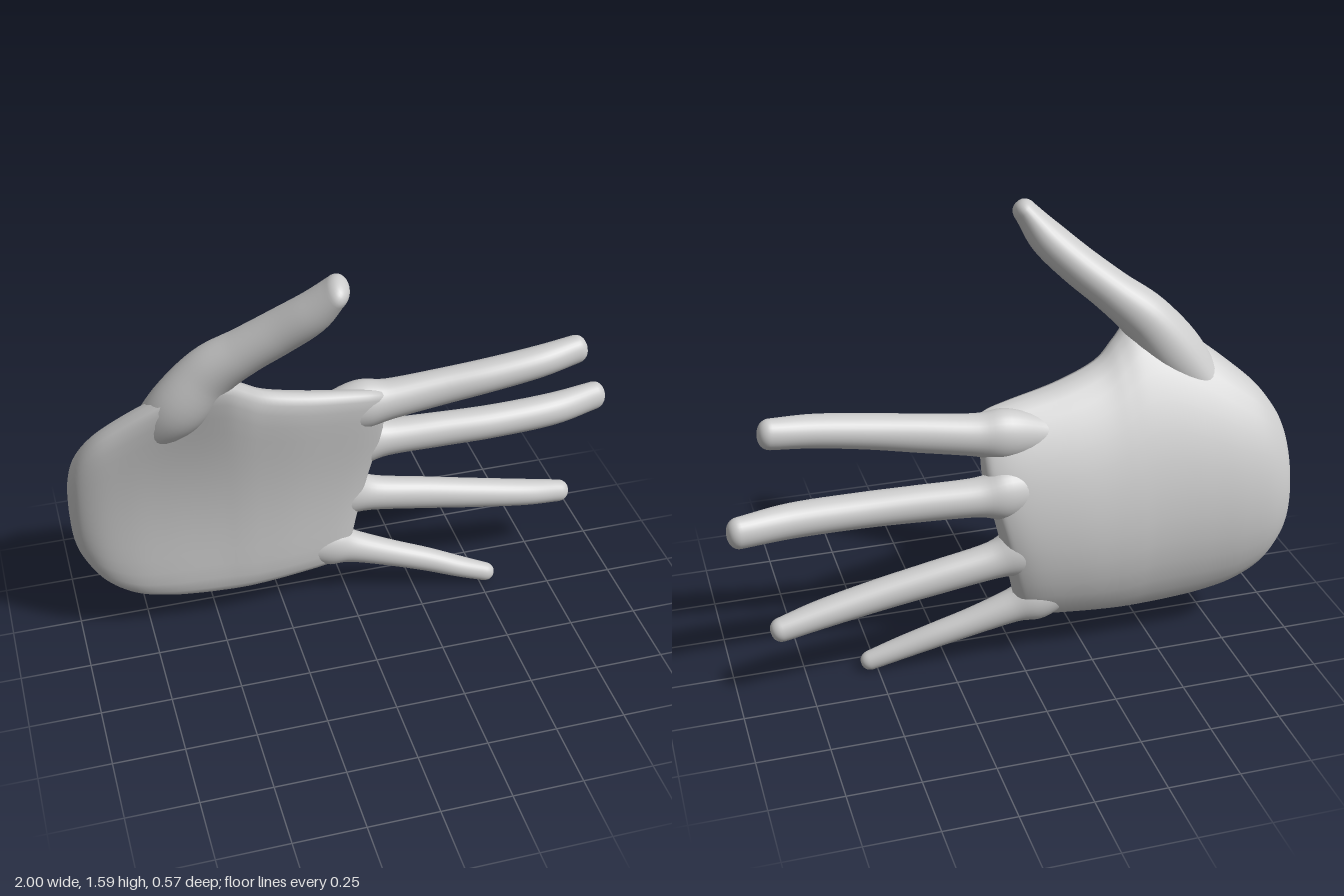
import * as THREE from 'three';

const material = new THREE.MeshStandardMaterial({ color: 0xcccccc, roughness: 0.7 });
const SIDES = 32;

// Smooth skin over a list of closed rings of points
function loft(name, rings) {
  const index = [];
  for (let i = 0; i < rings.length - 1; i++) {
    for (let j = 0; j < SIDES; j++) {
      const k = (j + 1) % SIDES;
      const a = i * SIDES + j, b = i * SIDES + k;
      index.push(a, b, b + SIDES, a, b + SIDES, a + SIDES);
    }
  }
  const geometry = new THREE.BufferGeometry().setFromPoints(rings.flat());
  geometry.setIndex(index);
  geometry.computeVertexNormals();
  const mesh = new THREE.Mesh(geometry, material);
  mesh.name = name;
  return mesh;
}

const spline = (points) => new THREE.CatmullRomCurve3(points, false, 'catmullrom', 0.5);

// Digit: rows of [x, y, z, half width, half depth], ending in a rounded tip
function digit(name, rows, tipLength = 0.04) {
  const path = spline(rows.map((r) => new THREE.Vector3(r[0], r[1], r[2])));
  const size = spline(rows.map((r) => new THREE.Vector3(r[3], r[4], 0)));
  const rings = [];
  const addRing = (t, forward, scale) => {
    const tangent = path.getTangent(t);
    const side = new THREE.Vector3(0, 0, 1).cross(tangent).normalize();
    const up = tangent.clone().cross(side);
    const centre = path.getPoint(t).addScaledVector(tangent, forward);
    const s = size.getPoint(t);
    rings.push(Array.from({ length: SIDES }, (_, j) => {
      const a = (j / SIDES) * Math.PI * 2;
      return centre.clone()
        .addScaledVector(side, Math.cos(a) * s.x * scale)
        .addScaledVector(up, Math.sin(a) * s.y * scale);
    }));
  };
  for (let i = 0; i <= 36; i++) addRing(i / 36, 0, 1);
  for (let k = 1; k <= 8; k++) {
    const a = (k / 8) * Math.PI / 2;
    addRing(1, Math.sin(a) * tipLength, Math.max(Math.cos(a) ** 0.8, 0.001));
  }
  return loft(name, rings);
}

// Palm: rows of [x, bottom, top, half thickness], cupped in z, slanted at the knuckles
function palm() {
  const rows = [
    [-1, 0.58, 0.61, 0.003], [-0.993, 0.46, 0.72, 0.045], [-0.965, 0.37, 0.83, 0.08],
    [-0.9, 0.27, 0.93, 0.105], [-0.8, 0.2, 1.02, 0.115], [-0.68, 0.167, 1.11, 0.115],
    [-0.56, 0.152, 1.18, 0.113], [-0.47, 0.147, 1.18, 0.112], [-0.4, 0.146, 1.125, 0.112],
    [-0.32, 0.148, 1.065, 0.11], [-0.17, 0.156, 1.015, 0.104], [0, 0.168, 0.98, 0.087],
    [0.08, 0.18, 0.962, 0.068], [0.112, 0.2, 0.945, 0.045], [0.125, 0.23, 0.92, 0.003],
  ];
  const outline = spline(rows.map((r) => new THREE.Vector3(r[0], r[1], r[2])));
  const thickness = spline(rows.map((r) => new THREE.Vector3(r[0], r[3], 0)));
  const rings = [];
  const steps = 84;
  for (let i = 0; i <= steps; i++) {
    const p = outline.getPoint(i / steps);
    const h = thickness.getPoint(i / steps).y;
    const slant = 0.22 * THREE.MathUtils.smoothstep(p.x, -0.5, 0.1);
    rings.push(Array.from({ length: SIDES }, (_, j) => {
      const a = (j / SIDES) * Math.PI * 2;
      const y = (p.y + p.z) / 2 + Math.cos(a) * (p.z - p.y) / 2;
      const s = Math.sin(a);
      const z = -0.175 + 0.45 * (y - 0.45) ** 2 + h * Math.sign(s) * Math.abs(s) ** 0.8;
      return new THREE.Vector3(p.x - slant * Math.max(0, 0.75 - y), y, z);
    }));
  }
  return loft('palm', rings);
}

export function createModel() {
  const hand = new THREE.Group();
  hand.name = 'hand';
  hand.add(
    palm(),
    digit('thumb', [
      [-0.74, 0.9, -0.08, 0.06, 0.06], [-0.62, 1.05, -0.015, 0.1, 0.095], [-0.51, 1.19, 0.02, 0.09, 0.09],
      [-0.4, 1.285, 0.07, 0.075, 0.083], [-0.29, 1.375, 0.125, 0.07, 0.08],
      [-0.2, 1.46, 0.18, 0.063, 0.075], [-0.135, 1.545, 0.22, 0.042, 0.066],
    ], 0.045),
    digit('indexFinger', [
      [-0.12, 0.86, -0.11, 0.06, 0.05], [0.03, 0.882, -0.108, 0.092, 0.076], [0.14, 0.893, -0.1, 0.074, 0.068],
      [0.32, 0.918, -0.088, 0.067, 0.06], [0.5, 0.945, -0.075, 0.061, 0.06],
      [0.68, 0.97, -0.073, 0.057, 0.057], [0.825, 0.987, -0.09, 0.053, 0.046],
    ]),
    digit('middleFinger', [
      [-0.12, 0.69, -0.15, 0.06, 0.05], [0.04, 0.688, -0.165, 0.095, 0.075], [0.15, 0.687, -0.163, 0.069, 0.066],
      [0.35, 0.689, -0.153, 0.064, 0.061], [0.55, 0.691, -0.147, 0.061, 0.061],
      [0.78, 0.695, -0.157, 0.06, 0.058], [0.96, 0.698, -0.195, 0.055, 0.045],
    ]),
    digit('ringFinger', [
      [-0.15, 0.495, -0.165, 0.06, 0.05], [-0.01, 0.465, -0.175, 0.095, 0.07], [0.1, 0.437, -0.175, 0.067, 0.06],
      [0.3, 0.4, -0.17, 0.061, 0.055], [0.5, 0.362, -0.165, 0.056, 0.053],
      [0.7, 0.322, -0.167, 0.05, 0.05], [0.84, 0.293, -0.178, 0.043, 0.04],
    ]),
    digit('littleFinger', [
      [-0.2, 0.29, -0.155, 0.06, 0.05], [-0.07, 0.25, -0.155, 0.086, 0.065], [0.02, 0.222, -0.148, 0.062, 0.056],
      [0.16, 0.173, -0.132, 0.05, 0.048], [0.3, 0.125, -0.113, 0.045, 0.043],
      [0.42, 0.08, -0.093, 0.04, 0.04], [0.52, 0.043, -0.08, 0.036, 0.033],
    ], 0.038),
  );
  return hand;
}
